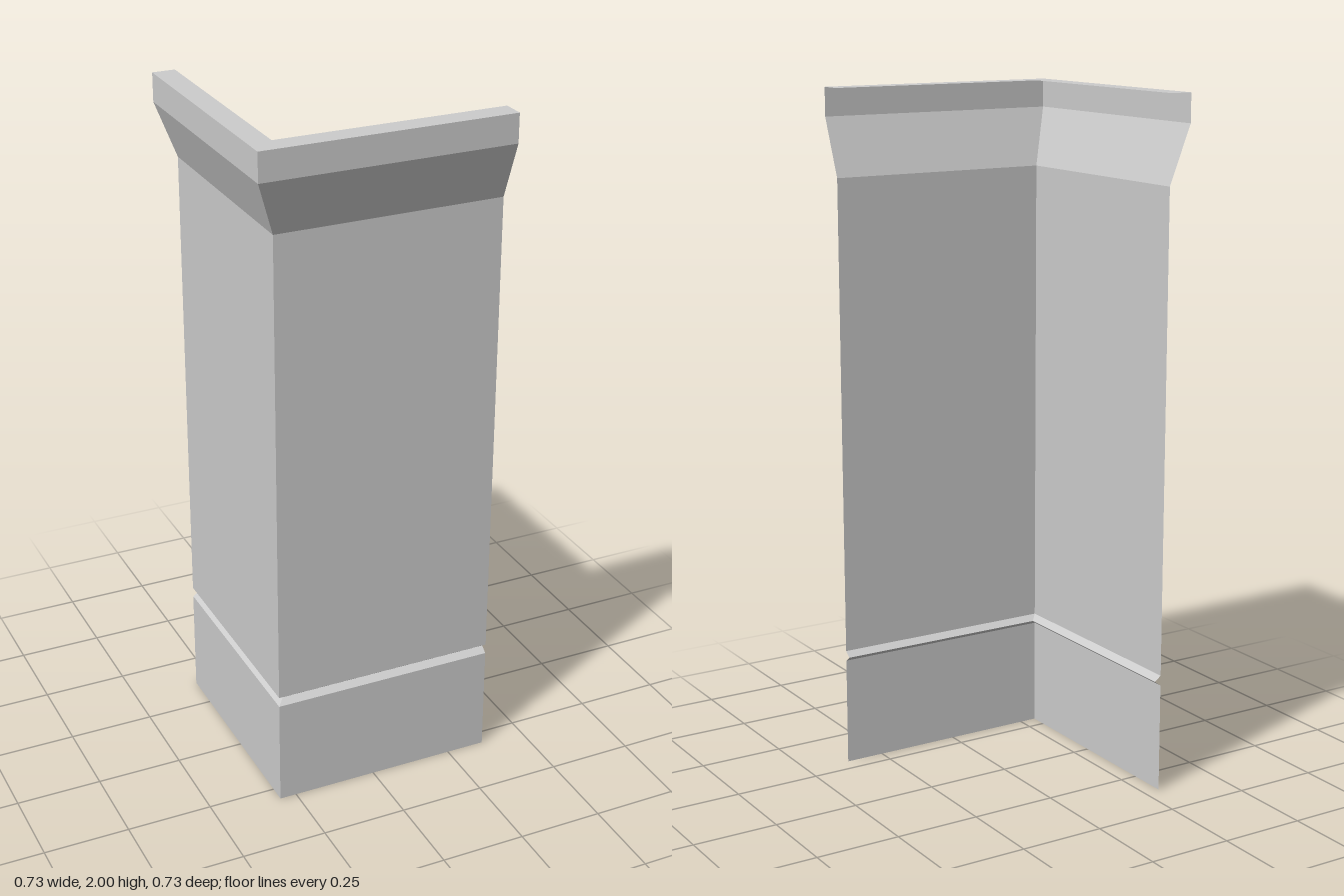
import * as THREE from 'three';

const END = 0.366; // where both wings stop

// Profile of each part as [distance from centre, height], bottom to top
const PARTS = {
  plinth: [[0.3, 0], [0.3, 0.32]],
  groove: [[0.3, 0.32], [0.28, 0.335], [0.3, 0.35]],
  shaft: [[0.3, 0.35], [0.3, 1.75]],
  cornice: [[0.3, 1.75], [0.366, 1.917], [0.366, 2]],
  topLip: [[0.366, 2], [0.3, 2]],
};

// Sweep a profile along an L: back end, mitred corner, right-hand end
function sweepCorner(profile) {
  const rows = profile.map(([d, y]) => [[-d, y, -END], [-d, y, d], [END, y, d]]);
  const positions = [];
  for (let i = 0; i < rows.length - 1; i++) {
    for (let wing = 0; wing < 2; wing++) {
      const a = rows[i][wing], b = rows[i][wing + 1];
      const c = rows[i + 1][wing + 1], d = rows[i + 1][wing];
      positions.push(...a, ...b, ...c, ...a, ...c, ...d);
    }
  }
  const geometry = new THREE.BufferGeometry();
  geometry.setAttribute('position', new THREE.Float32BufferAttribute(positions, 3));
  geometry.computeVertexNormals();
  return geometry;
}

export function createModel() {
  const group = new THREE.Group();
  group.name = 'cornerPilaster';
  // Thin open sheet, visible from both sides
  const material = new THREE.MeshStandardMaterial({
    color: 0xcccccc, flatShading: true, side: THREE.DoubleSide,
  });
  for (const [name, profile] of Object.entries(PARTS)) {
    const mesh = new THREE.Mesh(sweepCorner(profile), material);
    mesh.name = name;
    group.add(mesh);
  }
  return group;
}
